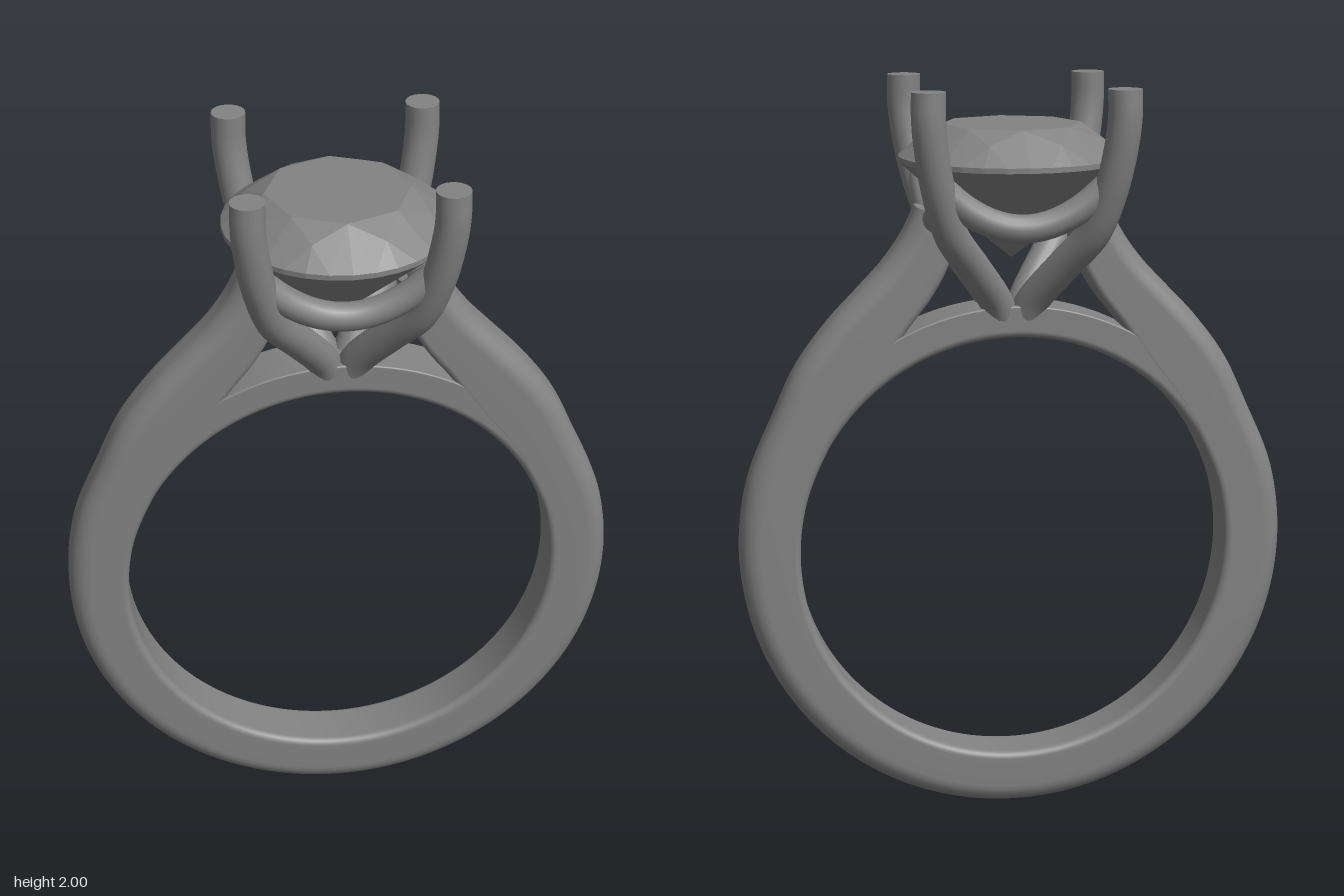
import * as THREE from 'three';
import { ConvexGeometry } from 'three/addons/geometries/ConvexGeometry.js';

const metal = new THREE.MeshStandardMaterial({ color: 0x838383 });
const stoneMaterial = new THREE.MeshStandardMaterial({ color: 0x838383, flatShading: true });
const V = (x, y, z = 0) => new THREE.Vector3(x, y, z);
const polar = (cy, r, deg) => {
  const a = THREE.MathUtils.degToRad(deg);
  return V(r * Math.cos(a), cy + r * Math.sin(a));
};

function add(parent, name, geometry, material = metal) {
  const mesh = new THREE.Mesh(geometry, material);
  mesh.name = name;
  parent.add(mesh);
  return mesh;
}

// Rounded band section: distance from the inner edge, and z
function bandSection(thickness, half, innerR, outerR) {
  const pts = [];
  const corners = [
    [thickness - outerR, half - outerR, outerR, 0],
    [innerR, half - innerR, innerR, 90],
    [innerR, innerR - half, innerR, 180],
    [thickness - outerR, outerR - half, outerR, 270],
  ];
  for (const [u, z, r, start] of corners) {
    for (let k = 0; k <= 6; k++) {
      const a = THREE.MathUtils.degToRad(start + k * 15);
      pts.push([u + r * Math.cos(a), z + r * Math.sin(a)]);
    }
  }
  return pts;
}

// Loft the band section between matching inner and outer edge points
function loftBand(inner, outer, half, innerR, outerR) {
  const pos = [], index = [];
  inner.forEach((p, i) => {
    const d = outer[i].clone().sub(p);
    const t = d.length();
    d.normalize();
    for (const [u, z] of bandSection(t, half, innerR, outerR)) {
      pos.push(p.x + d.x * u, p.y + d.y * u, z);
    }
  });
  const n = pos.length / 3 / inner.length;
  for (let i = 0; i < inner.length - 1; i++) {
    for (let j = 0; j < n; j++) {
      const a = i * n + j, b = i * n + (j + 1) % n;
      index.push(a, a + n, b, b, a + n, b + n);
    }
  }
  // End caps on their own vertices, so their edges stay sharp
  const first = inner.length * n, last = first + n;
  pos.push(...pos.slice(0, n * 3), ...pos.slice(-n * 3));
  for (let j = 1; j < n - 1; j++) {
    index.push(first, first + j, first + j + 1, last, last + j + 1, last + j);
  }
  const g = new THREE.BufferGeometry();
  g.setAttribute('position', new THREE.Float32BufferAttribute(pos, 3));
  g.setIndex(index);
  g.computeVertexNormals();
  return g;
}

// Mirror a right-hand edge (bottom to top) into a full smooth edge
function mirroredEdge(points) {
  const left = points.slice(1).reverse().map((p) => V(-p.x, p.y));
  return new THREE.CatmullRomCurve3([...left, ...points]).getPoints(192);
}

function makeStone() {
  const pts = [V(0, 1.53, 0)];
  const ring = (count, r, y, offset = 0) => {
    for (let i = 0; i < count; i++) {
      const a = ((i + offset) / count) * Math.PI * 2;
      pts.push(V(r * Math.cos(a), y, r * Math.sin(a)));
    }
  };
  ring(8, 0.19, 1.89);          // table
  ring(8, 0.245, 1.855, 0.5);   // crown facets
  ring(32, 0.302, 1.806);       // girdle
  ring(32, 0.302, 1.792);
  ring(8, 0.07, 1.583, 0.5);    // pavilion facets
  return new ConvexGeometry(pts);
}

export function createModel() {
  const model = new THREE.Group();
  model.name = 'ring';

  // Shank whose ends sweep up into the two shoulders
  const inner = [], outer = [];
  for (let a = -90; a <= 30; a += 15) {
    inner.push(polar(0.737, 0.585, a));
    outer.push(polar(0.747, 0.747, a));
  }
  inner.push(V(0.44, 1.14), V(0.365, 1.24), V(0.29, 1.35), V(0.225, 1.435),
    V(0.175, 1.53), V(0.15, 1.65));
  outer.push(V(0.585, 1.25), V(0.5, 1.365), V(0.42, 1.45), V(0.35, 1.525),
    V(0.297, 1.6), V(0.26, 1.675));
  add(model, 'shank', loftBand(mirroredEdge(inner), mirroredEdge(outer), 0.077, 0.02, 0.055));

  // Bridge closing the finger hole under the setting
  const bridgeIn = [], bridgeOut = [];
  for (let a = 28; a <= 152; a += 2) {
    bridgeIn.push(polar(0.737, 0.585, a));
    bridgeOut.push(polar(0.737, 0.672, a));
  }
  add(model, 'bridge', loftBand(bridgeIn, bridgeOut, 0.0765, 0.02, 0.005));

  // Four prongs rising from the bridge
  const setting = new THREE.Group();
  setting.name = 'setting';
  model.add(setting);
  const profile = [[0.025, 1.36], [0.05, 1.42], [0.118, 1.52], [0.188, 1.62],
    [0.222, 1.72], [0.243, 1.82], [0.255, 1.92], [0.255, 2]];
  for (const sx of [1, -1]) {
    for (const sz of [1, -1]) {
      const path = new THREE.CatmullRomCurve3(profile.map(([s, y]) => V(sx * s, y, sz * s)));
      add(setting, 'prong', new THREE.TubeGeometry(path, 40, 0.045, 20));
      const tip = add(setting, 'prongTip', new THREE.CircleGeometry(0.045, 20));
      tip.rotation.x = -Math.PI / 2;
      tip.position.set(sx * 0.255, 2, sz * 0.255);
    }
  }

  // Rail scallops dipping from prong to prong on all four sides
  const dip = [];
  for (let s = -1; s <= 1.01; s += 0.25) {
    dip.push(V(0.215 * s, 1.637 + 0.105 * s * s, 0.21 + 0.005 * s * s));
  }
  const dipGeometry = new THREE.TubeGeometry(new THREE.CatmullRomCurve3(dip), 40, 0.038, 16);
  for (let k = 0; k < 4; k++) {
    add(setting, 'galleryRail', dipGeometry).rotation.y = k * Math.PI / 2;
  }

  // Faceted round stone
  add(model, 'stone', makeStone(), stoneMaterial);
  return model;
}
